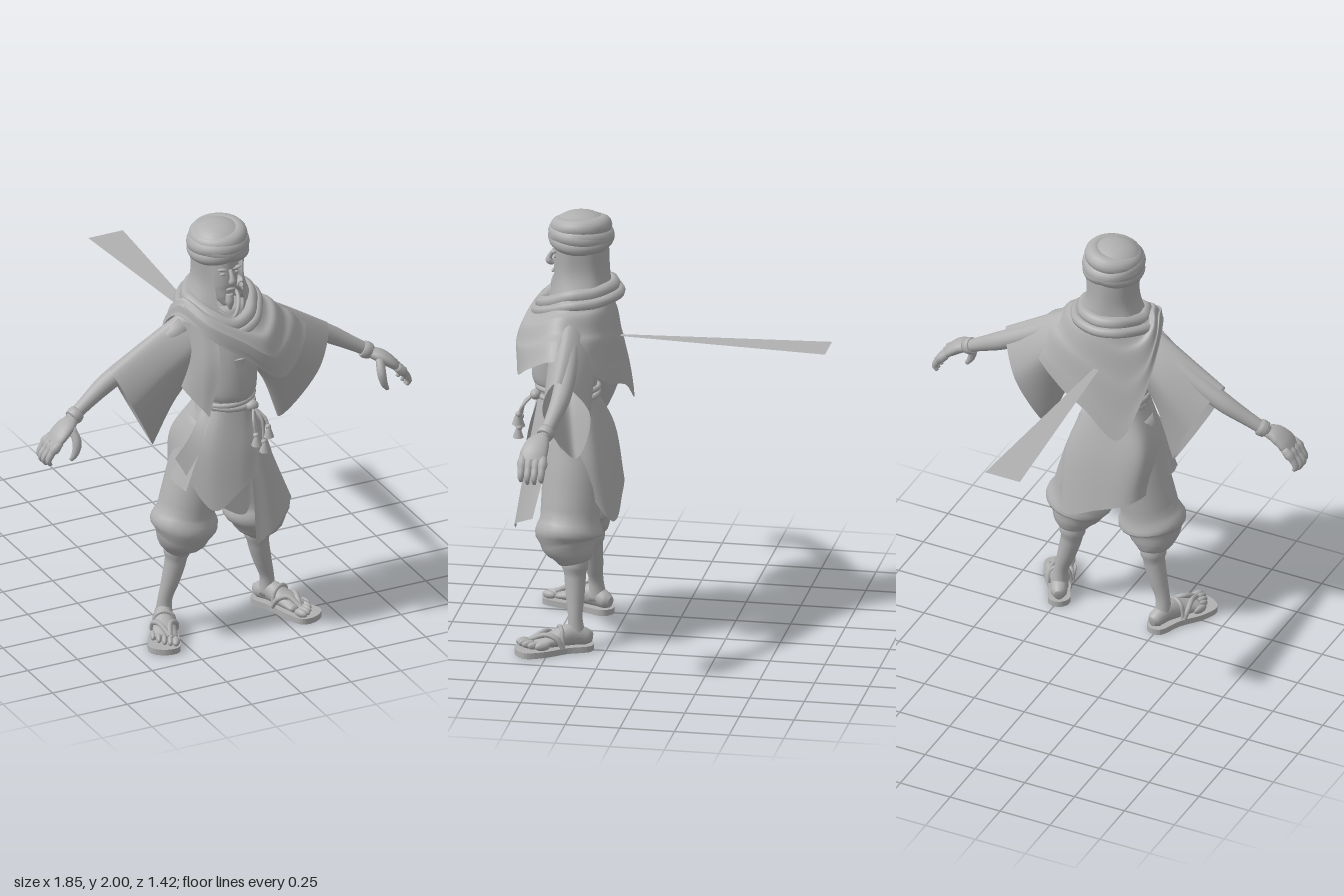
import * as THREE from 'three';

const clay = new THREE.MeshStandardMaterial({ color: 0xb0b0b0, side: THREE.DoubleSide });
clay.name = 'plain grey';
const V = (p) => new THREE.Vector3(p[0], p[1], p[2]);
const curve = (pts, closed = false) => new THREE.CatmullRomCurve3(pts.map(p => p.isVector3 ? p : V(p)), closed);

function add(parent, name, geometry, pos = [0, 0, 0], scale = [1, 1, 1], rot = [0, 0, 0]) {
  const m = new THREE.Mesh(geometry, clay);
  m.name = name;
  m.position.set(...pos);
  m.scale.set(...scale);
  m.rotation.set(...rot);
  parent.add(m);
  return m;
}

// Surface through rows of points, optionally closed around and capped
function grid(rows, closed, caps = false) {
  const n = rows[0].length, pos = [], idx = [];
  rows.forEach(r => r.forEach(p => pos.push(p.x, p.y, p.z)));
  for (let i = 0; i < rows.length - 1; i++)
    for (let j = 0; j < (closed ? n : n - 1); j++) {
      const a = i * n + j, b = i * n + (j + 1) % n;
      idx.push(a, b, b + n, a, b + n, a + n);
    }
  if (caps) [0, rows.length - 1].forEach((r, k) => {
    const c = rows[r].reduce((s, p) => s.add(p), new THREE.Vector3()).divideScalar(n);
    const ci = pos.length / 3;
    pos.push(c.x, c.y, c.z);
    for (let j = 0; j < n; j++) {
      const a = r * n + j, b = r * n + (j + 1) % n;
      idx.push(...(k ? [a, b, ci] : [b, a, ci]));
    }
  });
  const g = new THREE.BufferGeometry();
  g.setAttribute('position', new THREE.Float32BufferAttribute(pos, 3));
  g.setIndex(idx);
  g.computeVertexNormals();
  return g;
}

// Round body along a path; each point is [x, y, z, radius, second radius]
function limb(pts, ref = [0, 0, 1], steps = 5, sides = 20) {
  const path = curve(pts), rad = curve(pts.map(p => [p[3], p[4] ?? p[3], 0]));
  const rows = [], n = (pts.length - 1) * steps;
  for (let i = 0; i <= n; i++) {
    const c = path.getPoint(i / n), r = rad.getPoint(i / n), t = path.getTangent(i / n);
    const u = t.clone().cross(V(ref)).normalize(), w = u.clone().cross(t).normalize();
    rows.push(Array.from({ length: sides }, (_, j) => {
      const a = j / sides * Math.PI * 2;
      return c.clone().addScaledVector(u, Math.cos(a) * r.x).addScaledVector(w, Math.sin(a) * r.y);
    }));
  }
  return grid(rows, true, true);
}

// Cloth spanned between a few guide curves, with optional folds
function cloth(guides, closed = false, n = 40, m = 12, fold = null) {
  const lines = guides.map(g => curve(g, closed));
  const cols = Array.from({ length: closed ? n : n + 1 }, (_, j) => {
    const c = curve(lines.map(l => l.getPoint(j / n)));
    return Array.from({ length: m + 1 }, (_, i) => {
      const p = c.getPoint(i / m);
      if (fold) p.y += fold(i / m, j / n);
      return p;
    });
  });
  return grid(Array.from({ length: m + 1 }, (_, i) => cols.map(c => c[i])), closed);
}
const cord = (pts, r, closed = false) => new THREE.TubeGeometry(curve(pts, closed), 48, r, 8, closed);
const ball = new THREE.SphereGeometry(1, 24, 16);

function arm() {
  const g = new THREE.Group();
  add(g, 'arm', limb([[.18, 1.52, .43, .06], [.4, 1.39, .4, .048], [.56, 1.3, .4, .043], [.67, 1.235, .42, .033], [.76, 1.18, .44, .027]]));
  add(g, 'bracelet', limb([[.715, 1.205, .43, .036], [.73, 1.197, .435, .04], [.75, 1.187, .44, .036]]));
  add(g, 'palm', limb([[.745, 1.185, .44, .024, .03], [.79, 1.165, .46, .03, .055], [.83, 1.135, .47, .028, .062], [.865, 1.1, .47, .018, .055]]));
  for (let i = 0; i < 4; i++) {
    const z = .425 + i * .031, k = i === 1 || i === 2 ? .008 : 0;
    add(g, 'finger', limb([[.845, 1.12, z, .017], [.885, 1.08, z, .017], [.905 + k, 1.04, z, .014], [.893 + k, 1.02 - k, z, .008]], [0, 0, 1], 4, 10));
  }
  add(g, 'thumb', limb([[.775, 1.165, .49, .02], [.765, 1.11, .525, .021], [.775, 1.06, .53, .017], [.795, 1.025, .525, .009]], [0, 0, 1], 4, 10));
  // wide sleeve: top, front, bottom and back of each opening
  add(g, 'sleeve', cloth([
    [[.13, 1.62, .43], [.13, 1.48, .53], [.12, 1.3, .45], [.13, 1.48, .33]],
    [[.32, 1.51, .42], [.28, 1.36, .51], [.22, 1.16, .42], [.28, 1.36, .3]],
    [[.545, 1.37, .42], [.47, 1.2, .5], [.315, .93, .38], [.44, 1.2, .29]]], true));
  return g;
}

function leg() {
  const g = new THREE.Group();
  add(g, 'trouserLeg', limb([[.08, 1.05, .45, .08, .11], [.125, .8, .43, .12, .135], [.17, .6, .43, .13, .135], [.188, .5, .43, .13, .135], [.198, .44, .41, .1, .1], [.2, .4, .4, .065, .075]]));
  add(g, 'shin', limb([[.2, .45, .4, .05], [.205, .35, .4, .05], [.23, .24, .395, .042], [.255, .15, .39, .033], [.26, .06, .385, .04, .045]]));
  const f = new THREE.Group();
  f.name = 'foot';
  f.position.set(.25, 0, .36);
  f.rotation.y = .42;
  g.add(f);
  const outline = new THREE.Shape(curve([[0, -.055, 0], [.045, -.03, 0], [.05, .08, 0], [.078, .2, 0], [.068, .285, 0], [0, .31, 0], [-.06, .285, 0], [-.066, .2, 0], [-.05, .08, 0], [-.045, -.03, 0]], true)
    .getPoints(50).map(p => new THREE.Vector2(p.x, p.y)));
  add(f, 'sandalSole', new THREE.ExtrudeGeometry(outline, { depth: .028, bevelEnabled: false }).rotateX(Math.PI / 2), [0, .028, 0]);
  add(f, 'footBody', limb([[0, .055, -.045, .02, .025], [0, .06, -.02, .037, .038], [0, .075, .05, .04, .05], [0, .06, .13, .052, .036], [0, .045, .22, .058, .018]], [0, 1, 0]));
  for (let i = 0; i < 5; i++)
    add(f, 'toe', ball, [-.046 + i * .025, .045, .26 - i * i * .004], [i ? .013 : .018, .019, .035]);
  for (const s of [-1, 1])
    add(f, 'sandalStrap', cord([[s * .055, .03, .1], [s * .05, .075, .13], [s * .025, .09, .17], [-.02, .06, .235]], .012));
  add(f, 'ankleStrap', cord([[-.052, .03, .1], [-.035, .1, .1], [0, .115, .1], [.035, .1, .1], [.052, .03, .1]], .01));
  return g;
}

export function createModel() {
  const root = new THREE.Group();
  root.name = 'robedTraveller';
  for (const s of [1, -1]) for (const [name, make] of [['Arm', arm], ['Leg', leg]]) {
    const g = make();
    g.name = (s > 0 ? 'left' : 'right') + name;
    g.scale.x = s;
    root.add(g);
  }

  // Body
  add(root, 'shirt', limb([[0, 1.1, .47, .122, .125], [0, 1.2, .475, .135, .14], [0, 1.23, .48, .14, .155], [0, 1.35, .475, .15, .155], [0, 1.5, .455, .17, .135], [0, 1.6, .44, .11, .09]]));
  add(root, 'hips', limb([[0, 1.14, .47, .122, .125], [0, 1.0, .455, .16, .14], [0, .86, .44, .19, .135], [0, .79, .43, .13, .1]]));
  add(root, 'neck', limb([[0, 1.52, .44, .07], [0, 1.6, .44, .052], [0, 1.7, .43, .052]]));
  add(root, 'necklace', cord([[-.07, 1.65, .45], [-.04, 1.6, .53], [0, 1.575, .555], [.04, 1.6, .53], [.07, 1.65, .45], [0, 1.66, .37]], .009, true));
  add(root, 'pendant', new THREE.ConeGeometry(.035, .1, 3), [0, 1.35, .628], [1, 1, .35], [Math.PI, 0, 0]);
  add(root, 'vest', cloth([
    [[-.09, 1.58, .56], [-.15, 1.58, .54], [-.2, 1.56, .46], [-.15, 1.56, .36]],
    [[-.1, 1.4, .63], [-.16, 1.38, .59], [-.2, 1.36, .48], [-.16, 1.36, .36]],
    [[-.14, 1.13, .61], [-.17, 1.17, .58], [-.215, 1.24, .48], [-.17, 1.25, .36]]]));

  // Head
  add(root, 'face', limb([[0, 1.62, .505, .015, .02], [0, 1.65, .485, .04, .05], [0, 1.7, .46, .06, .08], [0, 1.77, .44, .072, .1], [0, 1.86, .42, .08, .12]]));
  add(root, 'nose', limb([[0, 1.81, .535, .008], [0, 1.775, .555, .012], [0, 1.757, .556, .017], [0, 1.745, .535, .01]]));
  add(root, 'mouth', ball, [0, 1.712, .538], [.024, .007, .008]);
  add(root, 'beard', limb([[0, 1.685, .525, .016], [0, 1.65, .53, .02], [0, 1.61, .535, .006]]));
  for (const s of [-1, 1]) {
    add(root, 'eye', ball, [s * .032, 1.788, .526], [.016, .007, .008]);
    add(root, 'brow', ball, [s * .035, 1.812, .528], [.026, .007, .012], [0, 0, s * .15]);
    add(root, 'earring', new THREE.TorusGeometry(.014, .004, 8, 16), [s * .075, 1.7, .49]);
  }
  add(root, 'headCloth', cloth([
    [[-.075, 1.85, .51], [-.115, 1.85, .44], [-.1, 1.85, .33], [0, 1.85, .285], [.1, 1.85, .33], [.115, 1.85, .44], [.075, 1.85, .51]],
    [[-.07, 1.73, .52], [-.112, 1.73, .44], [-.1, 1.73, .33], [0, 1.73, .28], [.1, 1.73, .33], [.112, 1.73, .44], [.07, 1.73, .52]],
    [[-.06, 1.6, .55], [-.14, 1.63, .46], [-.13, 1.63, .32], [0, 1.63, .27], [.13, 1.63, .32], [.14, 1.63, .46], [.06, 1.6, .55]]]));
  add(root, 'turbanCrown', ball, [0, 1.915, .41], [.13, .085, .135]);
  for (const [y, r, tx, tz] of [[1.885, .1, 0, .22], [1.885, .1, 0, -.22], [1.9, .1, -.08, 0], [1.935, .09, .06, .12]])
    add(root, 'turbanWrap', new THREE.TorusGeometry(r, .042, 14, 40).rotateX(Math.PI / 2), [0, y, .41], [1, 1, 1.06], [tx, 0, tz]);

  // Shawl over the left shoulder, hanging to a point behind
  const neckEdge = [[-.12, 1.66, .43], [-.08, 1.62, .52], [-.01, 1.58, .57], [.06, 1.6, .55], [.1, 1.63, .49], [.12, 1.66, .43], [.1, 1.67, .35], [.06, 1.68, .3], [0, 1.68, .28], [-.06, 1.68, .3], [-.1, 1.67, .35], [-.12, 1.66, .4]];
  const shoulder = [[-.2, 1.65, .44], [-.14, 1.59, .58], [0, 1.51, .655], [.12, 1.45, .675], [.2, 1.5, .59], [.25, 1.56, .46], [.22, 1.53, .34], [.13, 1.48, .26], [.02, 1.45, .235], [-.1, 1.45, .25], [-.19, 1.53, .31], [-.215, 1.61, .38]];
  const hem = [[-.225, 1.59, .45], [-.14, 1.52, .6], [.03, 1.4, .665], [.2, 1.28, .665], [.33, 1.35, .59], [.41, 1.42, .46], [.35, 1.36, .32], [.2, 1.26, .25], [.04, 1.2, .2], [-.12, 1.09, .19], [-.22, 1.3, .25], [-.245, 1.5, .35]];
  add(root, 'shawl', cloth([neckEdge, shoulder, hem], true, 96, 24, (v, u) => .01 * Math.sin(v * 20 + 2 * Math.sin(u * 12.56)) * v * (1 - v) * 4));
  add(root, 'shawlCollar', cord(neckEdge.map(([x, y, z]) => [x * 1.2, y - .02, .42 + (z - .42) * 1.12]), .03, true));
  add(root, 'shawlFold', cord(neckEdge.map(([x, y, z]) => [x * 1.5, y - .055, .43 + (z - .43) * 1.3]), .024, true));

  // Skirt panels
  add(root, 'backPanel', cloth([
    [[.11, 1.13, .54], [.1, 1.13, .38], [0, 1.13, .335], [-.1, 1.13, .38], [-.11, 1.13, .54]],
    [[.17, 1.02, .53], [.19, .87, .31], [0, .9, .27], [-.19, .95, .31], [-.19, .97, .52]],
    [[.21, .96, .48], [.17, .59, .235], [0, .65, .225], [-.17, .72, .26], [-.26, .78, .47]]]));
  add(root, 'rightPanel', cloth([
    [[-.12, 1.13, .5], [-.07, 1.13, .58], [.03, 1.13, .605], [.085, 1.13, .59]],
    [[-.2, 1.0, .52], [-.12, .92, .61], [.0, .95, .64], [.09, 1.0, .63]],
    [[-.26, .9, .5], [-.13, .67, .64], [-.02, .75, .665], [.08, .82, .66]]]));
  add(root, 'sidePanel', cloth([
    [[-.1, 1.13, .56], [-.122, 1.13, .48], [-.1, 1.13, .4]],
    [[-.24, .76, .57], [-.26, .78, .47], [-.22, .8, .35]]]));
  add(root, 'leftPanel', cloth([
    [[.02, 1.13, .6], [.07, 1.13, .585], [.12, 1.13, .5]],
    [[.05, .85, .645], [.14, .85, .63], [.2, .87, .53]],
    [[.05, .485, .7], [.17, .55, .68], [.285, .62, .58]]]));
  add(root, 'innerPanel', cloth([
    [[-.08, 1.1, .57], [0, 1.1, .59], [.06, 1.1, .58]],
    [[-.11, .68, .6], [.03, .61, .62], [.07, .7, .62]]]));

  // Rope belt and tassels
  for (const [y, t] of [[1.165, .06], [1.14, -.08]])
    add(root, 'ropeBelt', new THREE.TorusGeometry(.13, .013, 10, 48).rotateX(Math.PI / 2), [0, y, .47], [1, 1, 1.05], [0, 0, t]);
  add(root, 'beltKnot', ball, [.075, 1.14, .605], [.03, .025, .025]);
  for (const [x, y] of [[.06, 1.0], [.1, .96], [.12, 1.03]]) {
    add(root, 'tasselCord', cord([[.075, 1.14, .615], [x - .005, 1.09, .66], [x, y + .02, .675]], .007));
    add(root, 'tasselKnot', ball, [x, y + .025, .675], [.014, .014, .014]);
    add(root, 'tassel', new THREE.CylinderGeometry(.01, .025, .045, 12), [x, y, .68]);
  }

  // Flat tapering blade behind the back
  add(root, 'backBlade', grid([[V([-.012, 1.42, .24]), V([.012, 1.42, .24])], [V([-.087, 1.42, -.72]), V([.087, 1.42, -.72])]], false));
  return root;
}
